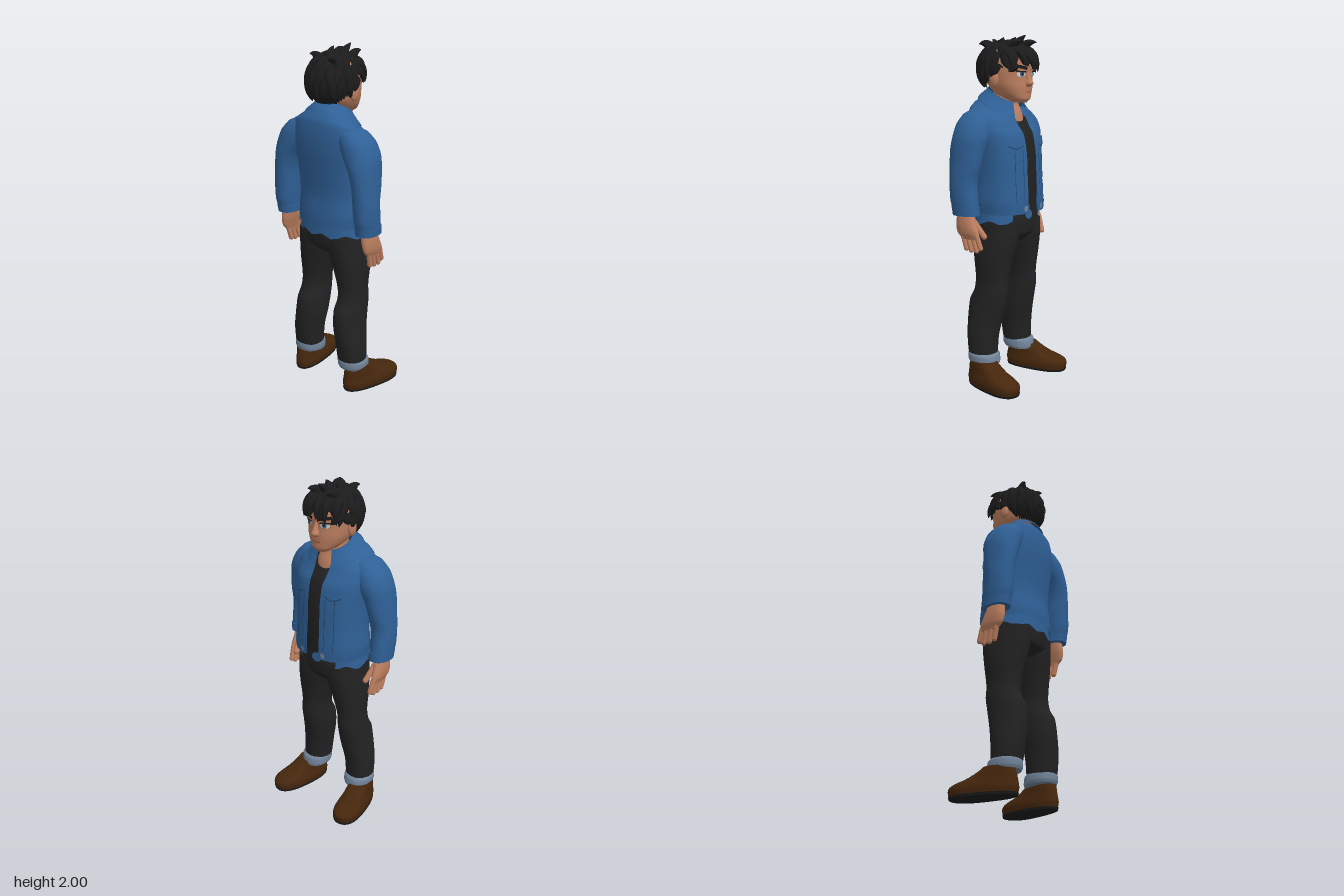
import * as THREE from 'three';

const mat = (name, color, side = THREE.FrontSide) => Object.assign(new THREE.MeshStandardMaterial({ color, side }), { name });

// Rows are [y, xBack, xFront, zMin, zMax, frontGap]; sym() fills in a centred width.
const sym = rows => rows.map(([y, b, f, w, g = 0]) => [y, b, f, -w, w, g]);
const mirror = (rows, s) => s > 0 ? rows : rows.map(([y, b, f, a, c]) => [y, b, f, -c, -a]);

// Smoothly interpolated row at height y
function rowAt(rows, y) {
  let i = 0;
  while (i < rows.length - 2 && y > rows[i + 1][0]) i++;
  const t = THREE.MathUtils.clamp((y - rows[i][0]) / (rows[i + 1][0] - rows[i][0]), 0, 1);
  const r = k => rows[THREE.MathUtils.clamp(k, 0, rows.length - 1)];
  return rows[i].map((v, c) => {
    if (c === 0) return y;
    const p = r(i - 1)[c], q = r(i + 1)[c], w = r(i + 2)[c];
    return 0.5 * (2 * v + (q - p) * t + (2 * p - 5 * v + 4 * q - w) * t * t + (3 * v - p - 3 * q + w) * t ** 3);
  });
}

// Superelliptic rings stacked upward; an open front when the rows carry a gap
function loft(rows, { n = 2.2, seg = 36, sub = 4 } = {}) {
  rows = [...rows].sort((a, b) => a[0] - b[0]);
  const open = (rows[0][5] || 0) > 0, cols = open ? seg + 1 : seg, pos = [], idx = [], rings = [];
  for (let i = 0; i < rows.length - 1; i++)
    for (let k = 0; k < sub; k++) rings.push(rowAt(rows, THREE.MathUtils.lerp(rows[i][0], rows[i + 1][0], k / sub)));
  rings.push(rows[rows.length - 1]);
  const bend = (v) => Math.sign(v) * Math.abs(v) ** (2 / n);
  const ring = ([y, b, f, z0, z1, g = 0]) => {
    const w = (z1 - z0) / 2, a0 = open ? Math.asin(Math.min(1, (g / w) ** (n / 2))) : 0;
    for (let j = 0; j < cols; j++) {
      const a = a0 + (Math.PI * 2 - 2 * a0) * j / seg;
      pos.push((b + f) / 2 + (f - b) / 2 * bend(Math.cos(a)), y, (z0 + z1) / 2 + w * bend(Math.sin(a)));
    }
  };
  rings.forEach(ring);
  for (let i = 0; i < rings.length - 1; i++)
    for (let j = 0; j < seg; j++) {
      const a = i * cols + j, b = i * cols + (j + 1) % cols, c = a + cols, d = b + cols;
      idx.push(a, c, b, b, c, d);
    }
  if (!open) [rings[0], rings[rings.length - 1]].forEach((r, top) => {
    const s = pos.length / 3;
    ring(r);
    pos.push((r[1] + r[2]) / 2, r[0], (r[3] + r[4]) / 2);
    for (let j = 0; j < seg; j++) {
      const a = s + j, b = s + (j + 1) % seg;
      idx.push(s + seg, top ? b : a, top ? a : b);
    }
  });
  return finish(pos, idx);
}

function finish(pos, idx) {
  const g = new THREE.BufferGeometry();
  g.setAttribute('position', new THREE.Float32BufferAttribute(pos, 3));
  g.setIndex(idx);
  g.computeVertexNormals();
  return g;
}

// Move every vertex by a rule
function warp(g, rule) {
  const p = g.attributes.position, v = new THREE.Vector3();
  for (let i = 0; i < p.count; i++) { v.fromBufferAttribute(p, i); rule(v); p.setXYZ(i, v.x, v.y, v.z); }
  g.computeVertexNormals();
  return g;
}

// Thin plate of [z, y] outline points laid on the front of a loft
function plate(rows, pts, off = 0.004, n = 2.2) {
  rows = [...rows].sort((a, b) => a[0] - b[0]);
  const area = pts.reduce((s, p, i) => { const q = pts[(i + 1) % pts.length]; return s + p[0] * q[1] - q[0] * p[1]; }, 0);
  const ps = area > 0 ? [...pts].reverse() : [...pts], m = ps.length, pos = [], idx = [];
  ps.push([0, 1].map(k => pts.reduce((s, p) => s + p[k], 0) / m));
  for (const [z, y] of ps) {
    const [, b, f, z0, z1] = rowAt(rows, y);
    const u = Math.min(1, Math.abs((z - (z0 + z1) / 2) / ((z1 - z0) / 2)));
    pos.push((b + f) / 2 + (f - b) / 2 * (1 - u ** n) ** (1 / n) + off, y, z);
  }
  for (let j = 0; j < m; j++) idx.push(m, j, (j + 1) % m);
  return finish(pos, idx);
}
const oval = (z, y, rz, ry) => Array.from({ length: 20 }, (_, i) => [z + rz * Math.cos(i * Math.PI / 10), y + ry * Math.sin(i * Math.PI / 10)]);
// Strip along a [z, y] line, thick in y
const strip = (a, b, h) => [0, 1, 2, 3, 4, 5, 5, 4, 3, 2, 1, 0].map((k, i) =>
  [a[0] + (b[0] - a[0]) * k / 5, a[1] + (b[1] - a[1]) * k / 5 + (i < 6 ? h : -h) / 2]);

// Rounded rod between two points
function rod(a, b, r) {
  const p = new THREE.Vector3(...a), q = new THREE.Vector3(...b), d = q.clone().sub(p);
  const g = new THREE.CapsuleGeometry(r, d.length(), 5, 10);
  g.applyQuaternion(new THREE.Quaternion().setFromUnitVectors(new THREE.Vector3(0, 1, 0), d.normalize()));
  return g.translate(...p.add(q).multiplyScalar(0.5).toArray());
}

// Tapered lock of hair
function lock(a, b, c, r) {
  const curve = new THREE.QuadraticBezierCurve3(a, b, c), g = new THREE.TubeGeometry(curve, 8, r, 7);
  const p = g.attributes.position, v = new THREE.Vector3();
  for (let i = 0; i < p.count; i++) {
    const t = Math.floor(i / 8) / 8, o = curve.getPointAt(t);
    v.fromBufferAttribute(p, i).sub(o).multiplyScalar(1 - t ** 2).add(o);
    p.setXYZ(i, v.x, v.y, v.z);
  }
  g.computeVertexNormals();
  return g;
}

export function createModel() {
  const root = new THREE.Group();
  root.name = 'standingMan';
  const skin = mat('skin', 0xbd7f60), denim = mat('blue denim', 0x2f6096, THREE.DoubleSide), seam = mat('dark denim', 0x214770);
  const black = mat('black cloth', 0x222222), hairM = mat('black hair', 0x1c1c1d), leather = mat('brown leather', 0x46270d);
  const cuffM = mat('pale denim', 0x72859a), white = mat('eye white', 0xd8d8d8), iris = mat('iris blue', 0x3f7396), lip = mat('lip', 0x9c6049);
  const add = (name, g, m) => { const o = new THREE.Mesh(g, m); o.name = name; root.add(o); return o; };
  const lean = v => { v.y -= 0.5 * THREE.MathUtils.smoothstep(v.y, 1.4, 1.66) * (v.x + 0.05); };

  // Head and neck
  const head = sym([[1.63, 0.02, 0.093, 0.035], [1.65, -0.03, 0.108, 0.068], [1.68, -0.09, 0.11, 0.096], [1.72, -0.13, 0.112, 0.116],
    [1.77, -0.15, 0.11, 0.126], [1.82, -0.165, 0.115, 0.13], [1.87, -0.165, 0.112, 0.125], [1.92, -0.13, 0.07, 0.1]]);
  add('head', loft(head), skin);
  add('neck', loft(sym([[1.48, -0.13, 0.06, 0.1], [1.56, -0.12, 0.05, 0.088], [1.62, -0.11, 0.025, 0.075], [1.72, -0.11, 0.02, 0.075]])), skin);
  add('nose', loft(sym([[1.718, 0.09, 0.122, 0.016], [1.735, 0.09, 0.143, 0.022], [1.76, 0.09, 0.132, 0.014], [1.8, 0.09, 0.117, 0.01]]), { seg: 16 }), skin);
  add('mouth', plate(head, strip([-0.028, 1.689], [0.028, 1.689], 0.007)), lip);
  for (const s of [1, -1]) {
    add('ear', new THREE.SphereGeometry(1, 16, 12).scale(0.03, 0.045, 0.018).translate(-0.03, 1.76, s * 0.13), skin);
    add('eyeWhite', plate(head, oval(s * 0.055, 1.788, 0.025, 0.016), 0.003), white);
    add('iris', plate(head, oval(s * 0.053, 1.788, 0.013, 0.015), 0.005), iris);
    add('pupil', plate(head, oval(s * 0.053, 1.788, 0.006, 0.007), 0.007), hairM);
    add('eyelid', plate(head, strip([s * 0.028, 1.799], [s * 0.086, 1.803], 0.008), 0.006), hairM);
    add('eyebrow', plate(head, strip([s * 0.022, 1.818], [s * 0.09, 1.832], 0.018), 0.006), hairM);
  }

  // Hair: shell with a shaped hairline, then tiers of locks
  const rad = Math.PI / 180, dome = (th, el, k = 1) => new THREE.Vector3(
    -0.04 + 0.172 * k * Math.cos(el * rad) * Math.cos(th * rad), 1.81 + 0.15 * k * Math.sin(el * rad), 0.14 * k * Math.cos(el * rad) * Math.sin(th * rad));
  const line = [[0, 18], [60, 8], [85, -8], [105, -30], [130, -50], [180, -52]];
  const edge = th => {
    const a = Math.abs(((th + 540) % 360) - 180), i = Math.max(1, line.findIndex(p => p[0] >= a)), [p, q] = [line[i - 1], line[i]];
    return p[1] + (q[1] - p[1]) * (a - p[0]) / (q[0] - p[0]);
  };
  add('hairShell', warp(new THREE.SphereGeometry(1, 60, 16), v => {
    const th = Math.atan2(v.z, v.x) / rad, t = Math.acos(THREE.MathUtils.clamp(v.y, -1, 1)) / Math.PI;
    v.copy(dome(th, 90 - t * (90 - edge(th)), 0.97));
  }), hairM);
  [[85, 48, 9, 0.034], [62, 18, 13, 0.036], [38, -12, 17, 0.034], [10, -40, 19, 0.03]].forEach(([e0, e1, count, r], tier) => {
    for (let i = 0; i < count; i++) {
      const th = 360 * (i + tier * 0.4) / count, low = Math.max(e1, edge(th) - 8 - 6 * (i % 2));
      if (low > e0 - 12) continue;
      add('hairLock', lock(dome(th, e0, 0.88), dome(th + 5, (e0 + low) / 2, 0.99), dome(th + 14 * (i % 2 ? 1 : -0.5), low, 1.04), r), hairM);
    }
  });
  // Fringe and crown spikes: [root x, y, z, tip x, y, z]
  const V = (x, y, z) => new THREE.Vector3(x, y, z);
  [[0.05, 1.92, 0.0, 0.135, 1.815, -0.022], [0.05, 1.92, -0.05, 0.125, 1.795, -0.075], [0.05, 1.92, 0.05, 0.13, 1.835, 0.062],
    [0.02, 1.91, 0.09, 0.085, 1.80, 0.112], [0.02, 1.91, -0.09, 0.08, 1.79, -0.115], [0.06, 1.92, 0.02, 0.145, 1.845, 0.025]].forEach(([a, b, c, d, e, f]) =>
    add('fringeLock', lock(V(a, b, c), V(d + 0.005, b - 0.015, (c + f) / 2), V(d, e, f), 0.027), hairM));
  [[0.0, 0.0, 0.095, 2, 0.0], [0.02, 0.05, 0.11, 1.965, 0.06], [0.02, -0.05, 0.12, 1.96, -0.07], [-0.05, 0.04, -0.02, 1.988, 0.05],
    [-0.05, -0.04, 0.0, 1.99, -0.04], [-0.1, 0.0, -0.12, 1.98, 0.02], [-0.1, -0.05, -0.15, 1.96, -0.08], [-0.1, 0.05, -0.18, 1.95, 0.07]].forEach(([a, c, d, e, f]) =>
    add('crownSpike', lock(V(a, 1.925, c), V((a + d) / 2, 1.97, (c + f) / 2), V(d, e, f), 0.03), hairM));

  // Shirt, jacket body, collar and shirt tail
  add('shirt', warp(loft(sym([[1.0, -0.17, 0.11, 0.19], [1.2, -0.17, 0.118, 0.19], [1.35, -0.18, 0.115, 0.195], [1.48, -0.18, 0.092, 0.19],
    [1.55, -0.16, 0.062, 0.15], [1.585, -0.13, 0.045, 0.1]])), lean), black);
  const jacket = sym([[1.02, -0.2, 0.148, 0.212, 0.045], [1.08, -0.2, 0.15, 0.22, 0.045], [1.2, -0.19, 0.142, 0.215, 0.043], [1.35, -0.205, 0.135, 0.222, 0.043],
    [1.48, -0.218, 0.112, 0.235, 0.045], [1.56, -0.207, 0.075, 0.22, 0.05], [1.6, -0.18, 0.06, 0.165, 0.052], [1.64, -0.145, 0.045, 0.11, 0.055], [1.66, -0.125, 0.04, 0.09, 0.055]]);
  add('jacketBody', warp(loft(jacket, { n: 2.4, seg: 48 }), lean), denim);
  add('jacketHem', loft(sym([[1.015, -0.205, 0.153, 0.217, 0.045], [1.065, -0.206, 0.155, 0.223, 0.045]]), { n: 2.4, seg: 48 }), denim);
  add('collar', warp(loft(sym([[1.605, -0.19, 0.088, 0.16, 0.075], [1.64, -0.163, 0.07, 0.128, 0.06], [1.68, -0.135, 0.048, 0.098, 0.045]])), lean), denim);
  add('shirtTail', warp(loft(sym([[0.965, -0.197, 0.122, 0.217, 0.125], [1.04, -0.194, 0.118, 0.212, 0.125]])), v => {
    if (v.y < 1) v.y += 0.012 * Math.sin(Math.atan2(v.z, v.x) * 9);
  }), denim);

  // Trousers top and buckle
  const hips = sym([[0.84, -0.13, 0.06, 0.13], [0.88, -0.175, 0.1, 0.2], [0.92, -0.187, 0.112, 0.212], [0.98, -0.19, 0.115, 0.21], [1.05, -0.185, 0.105, 0.2]]);
  add('hips', loft(hips), black);
  add('buckle', plate(hips, oval(0, 1.0, 0.034, 0.027), 0.006), denim);

  for (const s of [1, -1]) {
    // Jacket details
    const flip = pts => pts.map(([z, y]) => [z * s, y]);
    add('pocketFlap', plate(jacket, flip([[0.075, 1.435], [0.1, 1.436], [0.13, 1.437], [0.165, 1.438], [0.165, 1.405], [0.145, 1.395], [0.12, 1.385], [0.095, 1.395], [0.075, 1.405]]), 0.009, 2.4), denim);
    add('pocketSeam', plate(jacket, flip(strip([0.072, 1.398], [0.12, 1.38], 0.007)), 0.008, 2.4), seam);
    add('pocketSeam', plate(jacket, flip(strip([0.168, 1.398], [0.12, 1.38], 0.007)), 0.008, 2.4), seam);
    for (const z of [0.075, 0.13]) add('frontSeam', plate(jacket, flip([[z, 1.08], [z, 1.2], [z, 1.3], [z, 1.38], [z + 0.004, 1.38], [z + 0.004, 1.3], [z + 0.004, 1.2], [z + 0.004, 1.08]]), 0.003, 2.4), seam);
    add('button', plate(jacket, oval(s * 0.075, 1.045, 0.014, 0.018), 0.009, 2.4), cuffM);

    // Sleeve and its cuff
    add('sleeve', loft(mirror([[1.02, -0.175, -0.022, 0.243, 0.352], [1.1, -0.195, -0.028, 0.236, 0.36], [1.2, -0.2, -0.035, 0.23, 0.36], [1.3, -0.206, -0.012, 0.222, 0.352],
      [1.38, -0.21, 0.0, 0.195, 0.347], [1.45, -0.207, 0.012, 0.15, 0.338], [1.52, -0.2, 0.005, 0.12, 0.308], [1.57, -0.18, -0.02, 0.11, 0.262], [1.595, -0.15, -0.06, 0.13, 0.215]], s)), denim);
    add('sleeveCuff', loft(mirror([[1.018, -0.18, -0.017, 0.238, 0.357], [1.065, -0.187, -0.02, 0.236, 0.36]], s)), denim);

    // Hand
    add('palm', loft(mirror([[0.885, -0.12, 0.0, 0.296, 0.324], [0.92, -0.148, -0.004, 0.288, 0.336], [0.97, -0.157, -0.025, 0.275, 0.34], [1.04, -0.15, -0.05, 0.265, 0.335]], s)), skin);
    [[-0.112, -0.092, 0.83], [-0.08, -0.058, 0.823], [-0.048, -0.022, 0.823], [-0.016, 0.006, 0.84]].forEach(([x0, x1, y]) =>
      add('finger', rod([x0, 0.91, s * 0.312], [x1, y, s * 0.306], 0.0145), skin));
    add('thumb', rod([-0.05, 0.98, s * 0.288], [0.004, 0.9, s * 0.27], 0.0165), skin);

    // Leg and turned-up cuff
    add('trouserLeg', loft(mirror([[0.15, -0.155, 0.0, 0.095, 0.245], [0.2, -0.167, 0.0, 0.087, 0.254], [0.3, -0.18, 0.007, 0.08, 0.25], [0.4, -0.186, 0.028, 0.066, 0.236],
      [0.5, -0.178, 0.05, 0.064, 0.226], [0.56, -0.147, 0.06, 0.068, 0.22], [0.63, -0.14, 0.06, 0.064, 0.214], [0.75, -0.155, 0.08, 0.035, 0.22],
      [0.87, -0.175, 0.103, 0.002, 0.215], [0.96, -0.18, 0.105, 0.0, 0.208]], s)), black);
    add('trouserCuff', warp(loft(mirror([[0.13, -0.16, 0.018, 0.093, 0.255], [0.145, -0.166, 0.02, 0.088, 0.26], [0.18, -0.166, 0.015, 0.088, 0.26], [0.192, -0.155, 0.005, 0.095, 0.25]], s)),
      v => { v.y -= 0.06 * (v.x + 0.07) - 0.004; }), cuffM);

    // Shoe, turned outward and narrower at the heel
    const place = g => g.rotateY(-s * 0.2).translate(0.025, 0, s * 0.222);
    const heel = v => { v.z *= 0.88 + 0.6 * THREE.MathUtils.clamp(v.x + 0.05, -0.15, 0.2); };
    const shoe = sym([[0.012, -0.186, 0.19, 0.084], [0.04, -0.192, 0.195, 0.088], [0.062, -0.19, 0.187, 0.085], [0.08, -0.187, 0.15, 0.08], [0.095, -0.184, 0.1, 0.076],
      [0.115, -0.18, 0.055, 0.074], [0.15, -0.172, 0.0, 0.07]]);
    add('shoe', place(warp(loft(shoe, { n: 2.5 }), heel)), leather);
    add('sole', place(warp(loft(sym([[0, -0.186, 0.19, 0.084], [0.014, -0.19, 0.194, 0.087]]), { n: 2.5 }), heel)), hairM);
    [[0.03, 0.122], [0.055, 0.111], [0.08, 0.1]].forEach(([x, y]) => add('lace', place(rod([x, y, -0.028], [x, y, 0.028], 0.006)), leather));
  }
  return root;
}
